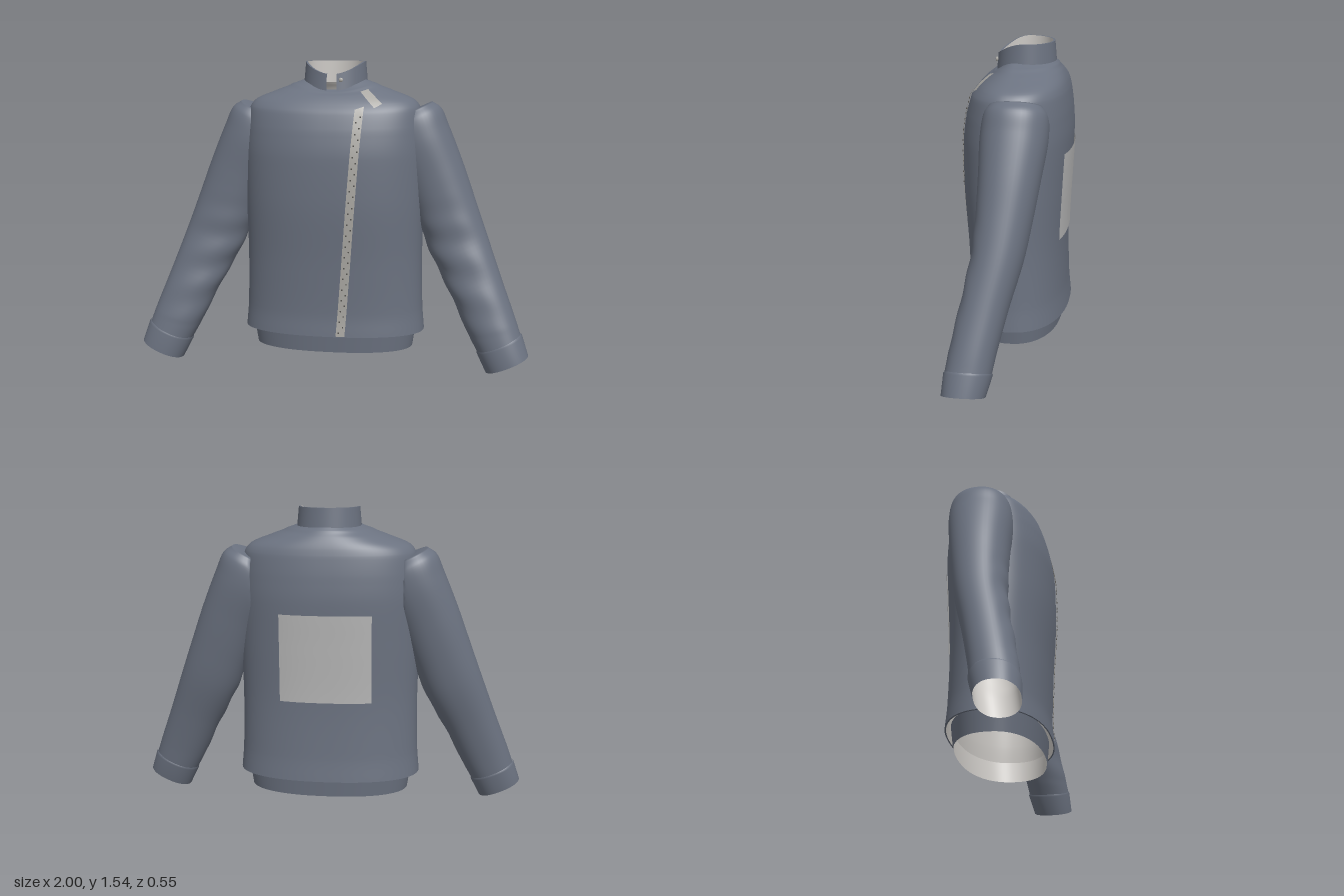
import * as THREE from 'three';

const mat = (name, color, side = THREE.FrontSide) =>
  Object.assign(new THREE.MeshStandardMaterial({ color, side }), { name });
const cloth = mat('slate cloth', 0x6b7280);
const lining = mat('pale lining', 0xcfccc8);
const tape = mat('zip tape', 0xaaa8a3, THREE.DoubleSide);
const panelGrey = mat('back panel grey', 0xb6b6b6, THREE.DoubleSide);
const dark = mat('dark metal', 0x55534f);

const V = (x, y, z) => new THREE.Vector3(x, y, z);
const spline = (pts) => new THREE.CatmullRomCurve3(pts.map((p) => V(...p)));
const spow = (v, e) => Math.sign(v) * Math.abs(v) ** e;

// Skin over a list of cross-sections
function loft(rings, closed = true, flip = false) {
  const n = rings[0].length, idx = [];
  for (let i = 0; i < rings.length - 1; i++) {
    for (let j = 0; j < (closed ? n : n - 1); j++) {
      const k = (j + 1) % n;
      const a = i * n + j, b = a + n, c = i * n + k, d = c + n;
      if (flip) idx.push(a, c, b, b, c, d);
      else idx.push(a, b, c, c, b, d);
    }
  }
  const geo = new THREE.BufferGeometry().setFromPoints(rings.flat());
  geo.setIndex(idx);
  geo.computeVertexNormals();
  return geo;
}

function add(parent, name, geo, material) {
  const mesh = new THREE.Mesh(geo, material);
  mesh.name = name;
  parent.add(mesh);
  return mesh;
}

// Torso sections: half width, front z, back z, side/back y, front y, roundness
const TORSO = [
  [0.467, 0.245, 0.267, 0.18, 0.18, 2.3],
  [0.457, 0.238, 0.256, 0.3, 0.3, 2.3],
  [0.452, 0.248, 0.25, 0.55, 0.55, 2.3],
  [0.458, 0.268, 0.262, 0.85, 0.85, 2.3],
  [0.46, 0.268, 0.274, 1.08, 1.08, 2.3],
  [0.45, 0.25, 0.268, 1.22, 1.21, 2.35],
  [0.435, 0.222, 0.254, 1.32, 1.305, 2.35],
  [0.405, 0.192, 0.243, 1.36, 1.345, 2.3],
  [0.3, 0.155, 0.222, 1.405, 1.38, 2.15],
  [0.215, 0.125, 0.2, 1.44, 1.4, 2],
  [0.158, 0.1, 0.18, 1.46, 1.412, 2],
];
const sizeCurve = spline(TORSO.map((r) => r.slice(0, 3)));
const riseCurve = spline(TORSO.map((r) => r.slice(3)));
const torsoAt = (t) => {
  const s = sizeCurve.getPoint(t), r = riseCurve.getPoint(t);
  return [s.x, s.y, s.z, r.x, r.y, r.z];
};

function oval([a, zf, zb, y, yF, n], k = 1) {
  return Array.from({ length: 96 }, (_, j) => {
    const th = (j / 96) * Math.PI * 2, c = Math.cos(th), s = Math.sin(th);
    const front = Math.max(0, s) ** 2;
    return V(k * a * spow(c, 2 / n), y + (yF - y) * front, k * (s > 0 ? zf : zb) * spow(s, 2 / n));
  });
}

// Point on the torso surface above a given x, y
function drape(x, y, back, off) {
  let lo = 0, hi = 1, z = 0;
  for (let i = 0; i < 30; i++) {
    const t = (lo + hi) / 2, [a, zf, zb, ys, yF, n] = torsoAt(t);
    const f = Math.max(0, 1 - (Math.abs(x) / a) ** n);
    z = (back ? -zb : zf) * f ** (1 / n);
    if (ys + (back ? 0 : (yF - ys) * f) < y) lo = t;
    else hi = t;
  }
  return V(x, y + (y > 1.3 ? off : 0), z + (back ? -off : off));
}

// Thin plate hugging the torso between four corners (bottom pair, then top pair)
function plate(p, q, r, s, nu, nv, back = false) {
  const mix = THREE.MathUtils.lerp, rows = [];
  for (let i = 0; i <= nv; i++) {
    rows.push(Array.from({ length: nu + 1 }, (_, j) => {
      const u = j / nu, v = i / nv;
      return drape(mix(mix(p[0], q[0], u), mix(s[0], r[0], u), v),
        mix(mix(p[1], q[1], u), mix(s[1], r[1], u), v), back, 0.006);
    }));
  }
  return loft(rows, false, !back);
}

// Sleeve sections: outer x, y, inner x, y, centre z, half depth
const SLEEVE = [
  [0.49, 1.35, 0.3, 1.26, -0.04, 0.125],
  [0.535, 1.32, 0.26, 1.19, -0.04, 0.152],
  [0.577, 1.23, 0.28, 1.09, -0.036, 0.16],
  [0.65, 1.05, 0.36, 0.92, -0.025, 0.146],
  [0.715, 0.87, 0.43, 0.75, -0.01, 0.133],
  [0.778, 0.695, 0.5, 0.58, 0.012, 0.123],
  [0.86, 0.47, 0.605, 0.385, 0.06, 0.114],
  [0.932, 0.28, 0.695, 0.2, 0.1, 0.11],
  [0.96, 0.2, 0.745, 0.108, 0.115, 0.108],
];
const CUFF = [
  [0.96, 0.207, 0.742, 0.112, 0.114, 0.106],
  [0.968, 0.198, 0.744, 0.1, 0.115, 0.113],
  [1.0, 0.1, 0.79, 0.008, 0.132, 0.102],
];

function sleeveRing([ox, oy, ix, iy, zc, hz], side, k = 1, t = 0) {
  const fold = Math.max(0, 1 - Math.abs(t - 0.68) / 0.25);
  return Array.from({ length: 48 }, (_, j) => {
    const p = (j / 48) * Math.PI * 2, c = Math.cos(p), s = Math.sin(p);
    // soft elbow creases on the inner front
    const g = k * (1 + 0.045 * fold * Math.sin(t * 55 + p * 2) * Math.max(0, 0.8 * s - 0.5 * c));
    const e = 2 / 2.2, u = g * spow(c, e) / 2;
    const x = Math.max(0.38, (ox + ix) / 2 + u * (ox - ix));
    return V(side * x, (oy + iy) / 2 + u * (oy - iy), zc + g * hz * spow(s, e));
  });
}

function sleeve(side) {
  const group = new THREE.Group();
  group.name = side > 0 ? 'leftSleeve' : 'rightSleeve';
  const outer = spline(SLEEVE.map((r) => [r[0], r[1], r[4]]));
  const inner = spline(SLEEVE.map((r) => [r[2], r[3], r[5]]));
  const rings = [], inside = [];
  for (let i = 0; i <= 64; i++) {
    const t = i / 64, o = outer.getPoint(t), q = inner.getPoint(t);
    const sec = [o.x, o.y, q.x, q.y, o.z, q.z];
    if (!i) rings.push(sleeveRing(sec, side, 0.02));
    rings.push(sleeveRing(sec, side, 1, t));
    if (i > 8 && i % 4 === 0) inside.push(sleeveRing(sec, side, 0.93));
  }
  const flip = side > 0;
  add(group, 'sleeve', loft(rings, true, flip), cloth);
  add(group, 'cuff', loft(CUFF.map((c) => sleeveRing(c, side)), true, flip), cloth);
  inside.push(sleeveRing(CUFF[2], side, 0.985));
  add(group, 'sleeveLining', loft(inside, true, !flip), lining);
  return group;
}

// Standing collar, open at the front
function collar() {
  const group = new THREE.Group();
  group.name = 'collar';
  const strips = [[], [], [], []];
  for (let j = 0; j <= 72; j++) {
    const th = Math.PI / 2 + 0.16 + (j / 72) * (Math.PI * 2 - 0.32);
    const c = Math.cos(th), s = Math.sin(th), f = Math.max(0, s) ** 2;
    const at = (r, y) => V(r * c, y, -0.036 + (r - 0.013) * s);
    const top = 1.55 - 0.062 * f, low = 1.45 - 0.055 * f;
    [at(0.162, low), at(0.153, top), at(0.143, top), at(0.148, low - 0.01)]
      .forEach((p, i) => strips[i].push(p));
  }
  add(group, 'collarOuter', loft(strips.slice(0, 2), false), cloth);
  add(group, 'collarRim', loft(strips.slice(1, 3), false), cloth);
  add(group, 'collarLining', loft(strips.slice(2, 4), false), lining);
  // closed front ends
  for (const j of [0, 72]) {
    const [a, b, c, d] = strips.map((r) => r[j]);
    add(group, 'collarEnd', loft([[a, d], [b, c]], false, j === 72), cloth);
  }
  const snap = add(group, 'collarSnap', new THREE.SphereGeometry(0.011, 16, 10), tape);
  snap.position.set(0.047, 1.46, 0.107);
  snap.scale.z = 0.6;
  return group;
}

export function createModel() {
  const model = new THREE.Group();
  model.name = 'jacket';

  // Torso shell with a turned hem, and its lining
  const steps = Array.from({ length: 61 }, (_, i) => torsoAt(i / 60));
  add(model, 'torso', loft(steps.map((s) => oval(s))), cloth);
  add(model, 'torsoLining', loft(steps.map((s) => oval(s, 0.975)), true, true), lining);
  add(model, 'hemEdge', loft([oval(steps[0], 0.975), oval(steps[0])]), cloth);

  // Waistband below the hem
  const band = [[0.408, 0.208, 0.226, 0.09, 0.09, 2.3], [0.425, 0.218, 0.238, 0.2, 0.2, 2.3]];
  add(model, 'waistband', loft(band.map((s) => oval(s))), cloth);
  add(model, 'waistbandLining', loft(band.map((s) => oval(s, 0.985)), true, true), lining);

  // Slanted front zip and the short piece near the collar
  add(model, 'frontZip', plate([0.043, 0.185], [0.088, 0.185], [0.176, 1.33], [0.132, 1.315], 3, 50), tape);
  add(model, 'upperZip', plate([0.225, 1.322], [0.262, 1.342], [0.182, 1.41], [0.148, 1.398], 4, 10), tape);
  const tooth = new THREE.BoxGeometry(0.007, 0.007, 0.004);
  for (let i = 0; i < 40; i++) {
    const v = (i + 0.5) / 40, x = 0.066 + 0.088 * v + (i % 2 ? 0.009 : -0.009);
    add(model, 'zipTooth', tooth, dark).position.copy(drape(x, 0.19 + 1.11 * v, false, 0.006));
  }

  // Plain panel on the back
  add(model, 'backPanel', plate([-0.23, 0.59], [0.23, 0.59], [0.23, 1.035], [-0.23, 1.035], 24, 16, true), panelGrey);

  model.add(sleeve(1), sleeve(-1), collar());
  return model;
}
